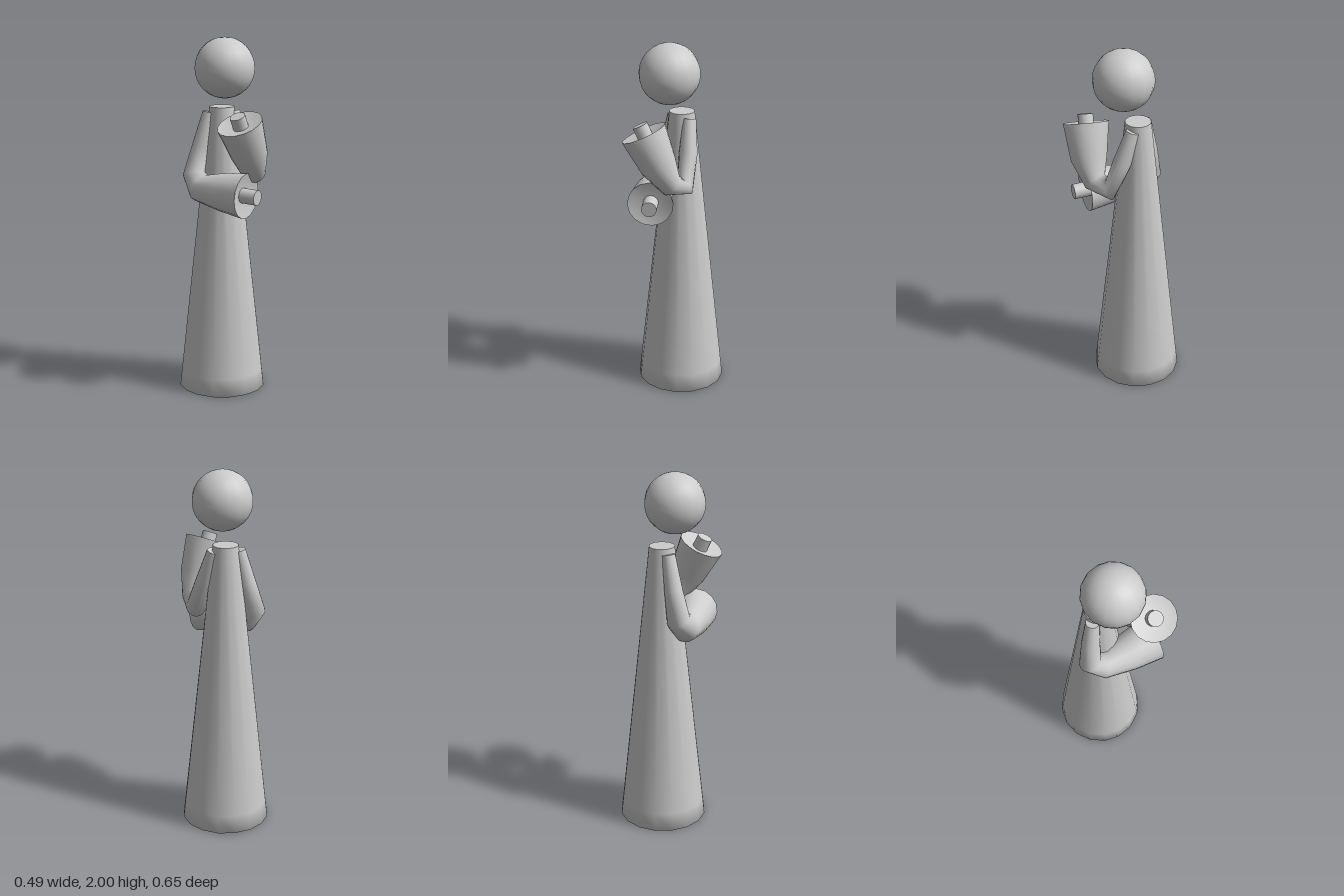
import * as THREE from 'three';

const SIDES = 16;
const grey = new THREE.MeshStandardMaterial({ color: 0xcccccc });
grey.name = 'plain grey';

function add(parent, geometry, name) {
  const mesh = new THREE.Mesh(geometry, grey);
  mesh.name = name;
  parent.add(mesh);
  return mesh;
}

// Builds geometry from rings of points, joined smoothly in order
function loft(rings) {
  const n = rings[0].length;
  const index = [];
  for (let i = 0; i < rings.length - 1; i++) {
    for (let j = 0; j < n; j++) {
      const k = (j + 1) % n;
      const a = i * n + j, b = i * n + k;
      index.push(a, b, a + n, b, b + n, a + n);
    }
  }
  const g = new THREE.BufferGeometry().setFromPoints(rings.flat());
  g.setIndex(index);
  g.computeVertexNormals();
  return g;
}

// Fan from a ring to a centre point
function fan(ring, centre, flip) {
  const index = [];
  ring.forEach((p, j) => {
    const k = (j + 1) % ring.length;
    if (flip) index.push(ring.length, k, j);
    else index.push(ring.length, j, k);
  });
  const g = new THREE.BufferGeometry().setFromPoints([...ring, centre]);
  g.setIndex(index);
  g.computeVertexNormals();
  return g;
}

// Sleeved arm through sections [x, y, z, radius], with a hand in the open end
function makeArm(name, sections, reach) {
  const arm = new THREE.Group();
  arm.name = name;
  const centres = sections.map(([x, y, z]) => new THREE.Vector3(x, y, z));
  const last = centres.length - 1;
  const dirs = centres.slice(1).map((c, i) => c.clone().sub(centres[i]).normalize());
  const normals = centres.map((c, i) =>
    dirs[Math.max(i - 1, 0)].clone().add(dirs[Math.min(i, last - 1)]).normalize());

  // Carry one frame along the arm so the rings do not twist
  const u = new THREE.Vector3(1, 0, 0).projectOnPlane(normals[0]).normalize();
  const rings = centres.map((c, i) => {
    if (i > 0) {
      u.applyQuaternion(new THREE.Quaternion().setFromUnitVectors(normals[i - 1], normals[i]));
    }
    const v = normals[i].clone().cross(u);
    return Array.from({ length: SIDES }, (_, j) => {
      const a = (j / SIDES) * Math.PI * 2;
      return c.clone()
        .addScaledVector(u, Math.cos(a) * sections[i][3])
        .addScaledVector(v, Math.sin(a) * sections[i][3]);
    });
  });
  add(arm, loft(rings), 'sleeve');
  add(arm, fan(rings[0], centres[0], true), 'shoulderCap');

  // Slightly sunken cuff opening
  const mouth = centres[last], axis = normals[last];
  add(arm, fan(rings[last], mouth.clone().addScaledVector(axis, -0.035), false), 'cuffOpening');

  // Hand
  const hand = add(arm, new THREE.CylinderGeometry(0.042, 0.042, reach + 0.06, SIDES), 'hand');
  hand.quaternion.setFromUnitVectors(new THREE.Vector3(0, 1, 0), axis);
  hand.position.copy(mouth).addScaledVector(axis, (reach - 0.06) / 2);
  return arm;
}

export function createModel() {
  const model = new THREE.Group();
  model.name = 'robedFigure';

  // Robe, with a softly shaded foot
  const profile = [[0, 0], [0.19, 0], [0.245, 0], [0.234, 0.1], [0.07, 1.615]]
    .map(([x, y]) => new THREE.Vector2(x, y));
  add(model, new THREE.LatheGeometry(profile, SIDES), 'robe').position.z = -0.085;
  const neck = add(model, new THREE.CircleGeometry(0.07, SIDES), 'robeTop');
  neck.rotation.x = -Math.PI / 2;
  neck.position.set(0, 1.615, -0.085);

  // Floating head
  add(model, new THREE.SphereGeometry(0.165, SIDES, 16), 'head').position.y = 1.835;

  // Left arm folds up, right arm crosses the chest
  model.add(makeArm('leftArm', [
    [0.065, 1.585, -0.085, 0.036],
    [0.105, 1.41, -0.045, 0.05],
    [0.145, 1.245, 0.01, 0.055],
    [0.14, 1.275, 0.1, 0.065],
    [0.105, 1.385, 0.155, 0.1],
    [0.04, 1.56, 0.205, 0.125],
  ], 0.045));
  model.add(makeArm('rightArm', [
    [-0.07, 1.585, -0.09, 0.036],
    [-0.115, 1.4, -0.09, 0.05],
    [-0.155, 1.24, -0.085, 0.065],
    [-0.13, 1.175, -0.02, 0.08],
    [-0.03, 1.17, 0.09, 0.105],
    [0.08, 1.165, 0.195, 0.125],
  ], 0.07));

  return model;
}
